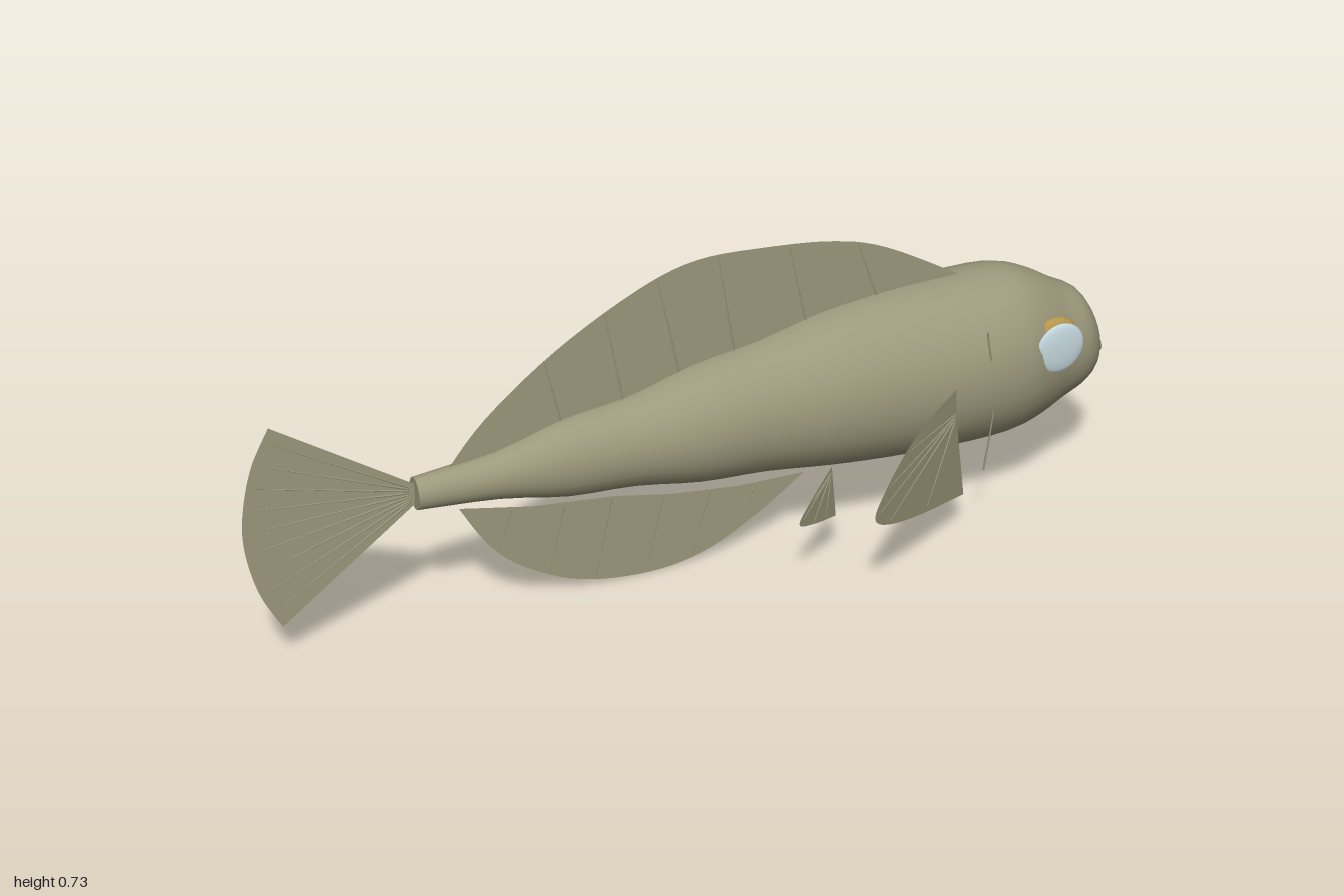
import * as THREE from 'three';

const mat = (name, color, side = THREE.FrontSide) => {
  const m = new THREE.MeshStandardMaterial({ color, side });
  m.name = name;
  return m;
};
const V = (x, y, z = 0) => new THREE.Vector3(x, y, z);

export function createModel() {
  const skin = mat('olive skin', 0x9d997c, THREE.DoubleSide);
  const gold = mat('gold iris', 0xb6964a);
  const lens = mat('pale blue lens', 0xc6dae0);

  const model = new THREE.Group();
  model.name = 'fish';
  const add = (parent, name, geo, material) => {
    const m = new THREE.Mesh(geo, material);
    m.name = name;
    parent.add(m);
    return m;
  };

  // Body: elliptical cross-sections [x, top, bottom, half width]
  const sections = [
    [-0.63, 0.37, 0.297, 0.03], [-0.45, 0.388, 0.28, 0.045], [-0.3, 0.428, 0.25, 0.068],
    [-0.15, 0.447, 0.24, 0.085], [0, 0.488, 0.216, 0.113], [0.15, 0.51, 0.205, 0.122],
    [0.3, 0.545, 0.186, 0.145], [0.45, 0.562, 0.172, 0.158], [0.6, 0.567, 0.166, 0.167],
    [0.74, 0.566, 0.166, 0.16], [0.82, 0.538, 0.182, 0.134], [0.88, 0.503, 0.206, 0.109],
    [0.935, 0.472, 0.23, 0.094], [0.97, 0.422, 0.256, 0.068], [0.986, 0.375, 0.297, 0.037],
    [0.99, 0.338, 0.334, 0.002],
  ];
  const spine = new THREE.CatmullRomCurve3(sections.map(s => V(s[0], (s[1] + s[2]) / 2)), false, 'catmullrom');
  const radii = new THREE.CatmullRomCurve3(sections.map(s => V((s[1] - s[2]) / 2, s[3])), false, 'catmullrom');
  const rings = (sections.length - 1) * 3, sides = 28;
  const pos = [], idx = [];
  for (let i = 0; i <= rings; i++) {
    const c = spine.getPoint(i / rings), r = radii.getPoint(i / rings);
    for (let j = 0; j < sides; j++) {
      const a = (j / sides) * Math.PI * 2;
      pos.push(c.x, c.y + r.x * Math.cos(a), r.y * Math.sin(a));
      if (i === rings) continue;
      const k = (j + 1) % sides, p = i * sides, q = p + sides;
      idx.push(p + j, p + k, q + j, p + k, q + k, q + j);
    }
  }
  const bodyGeo = new THREE.BufferGeometry();
  bodyGeo.setAttribute('position', new THREE.Float32BufferAttribute(pos, 3));
  bodyGeo.setIndex(idx);
  bodyGeo.computeVertexNormals();
  add(model, 'body', bodyGeo, skin);
  const cap = add(model, 'tailStump', new THREE.CircleGeometry(1, sides), skin);
  cap.position.set(-0.63, 0.3335, 0);
  cap.rotation.y = -Math.PI / 2;
  cap.scale.set(0.03, 0.0365, 1);

  // Fin: flat membrane with a smooth outer edge, closed by straight inner points;
  // rays are [x0, y0, x1, y1]; place maps the flat fin into space
  const fin = (name, edge, inner, rays, place = (x, y) => V(x, y)) => {
    const g = new THREE.Group();
    g.name = name;
    const curve = new THREE.SplineCurve(edge.map(p => new THREE.Vector2(...p)));
    const outline = [...curve.getPoints(40), ...inner.map(p => new THREE.Vector2(...p))];
    const geo = new THREE.ShapeGeometry(new THREE.Shape(outline));
    const p = geo.attributes.position;
    for (let i = 0; i < p.count; i++) {
      const v = place(p.getX(i), p.getY(i));
      p.setXYZ(i, v.x, v.y, v.z);
    }
    geo.computeVertexNormals();
    add(g, 'membrane', geo, skin);
    for (const [x0, y0, x1, y1] of rays) {
      const a = place(x0, y0), b = place(x1, y1);
      const ray = add(g, 'ray', new THREE.CylinderGeometry(0.001, 0.0025, a.distanceTo(b), 6), skin);
      ray.position.copy(a).lerp(b, 0.5);
      ray.quaternion.setFromUnitVectors(V(0, 1), b.sub(a).normalize());
    }
    model.add(g);
  };

  fin('dorsalFin',
    [[-0.565, 0.36], [-0.47, 0.47], [-0.31, 0.593], [-0.125, 0.693], [0.01, 0.733], [0.17, 0.729],
      [0.33, 0.71], [0.46, 0.668], [0.65, 0.56]],
    [[0.6, 0.5], [0.3, 0.48], [0, 0.42], [-0.3, 0.38], [-0.5, 0.35]],
    [[-0.3, 0.42, -0.335, 0.57], [-0.16, 0.44, -0.2, 0.655], [-0.03, 0.47, -0.08, 0.71], [0.1, 0.49, 0.06, 0.728],
      [0.27, 0.52, 0.225, 0.72], [0.44, 0.55, 0.39, 0.69]]);

  fin('analFin',
    [[-0.535, 0.272], [-0.47, 0.165], [-0.39, 0.09], [-0.26, 0.025], [-0.1, 0.002], [0.035, 0.022],
      [0.16, 0.085], [0.27, 0.16]],
    [[0.11, 0.165], [-0.05, 0.185], [-0.18, 0.213], [-0.37, 0.236]],
    [[-0.42, 0.24, -0.45, 0.15], [-0.3, 0.22, -0.335, 0.065], [-0.19, 0.21, -0.23, 0.02], [-0.07, 0.185, -0.11, 0.01],
      [0.04, 0.17, 0, 0.02], [0.15, 0.155, 0.11, 0.085]]);

  // Tail fan
  const tailRays = [];
  for (let i = 0; i < 9; i++) {
    const a = -0.58 + i * 0.145;
    tailRays.push([-0.64, 0.333 + a * 0.03, -0.635 - 0.345 * Math.cos(a), 0.33 + 0.345 * Math.sin(a)]);
  }
  fin('tailFin',
    [[-0.93, 0.56], [-0.97, 0.482], [-0.992, 0.4], [-1, 0.325], [-0.992, 0.25], [-0.97, 0.17], [-0.93, 0.09]],
    [[-0.635, 0.305], [-0.62, 0.31], [-0.62, 0.355], [-0.635, 0.36]], tailRays);

  for (const s of [1, -1]) {
    const side = s > 0 ? 'front' : 'back';

    // Paired fins sweep back and outwards from the body
    fin(side + 'PectoralFin',
      [[0.547, 0.387], [0.45, 0.372], [0.37, 0.346], [0.3, 0.3], [0.252, 0.246], [0.3, 0.2], [0.42, 0.15], [0.595, 0.096]],
      [[0.55, 0.32]],
      [[0.545, 0.325, 0.38, 0.335], [0.545, 0.32, 0.3, 0.29], [0.545, 0.32, 0.265, 0.245],
        [0.545, 0.315, 0.31, 0.205], [0.545, 0.31, 0.45, 0.155]],
      (x, y) => V(x, y, s * (0.171 - 0.65 * (x - 0.545))));
    fin(side + 'PelvicFin',
      [[0.268, 0.245], [0.2, 0.212], [0.15, 0.176], [0.21, 0.14], [0.288, 0.11]],
      [[0.272, 0.215]],
      [[0.265, 0.23, 0.2, 0.205], [0.265, 0.23, 0.165, 0.178], [0.265, 0.23, 0.205, 0.148], [0.265, 0.23, 0.25, 0.13]],
      (x, y) => V(x, y, s * (0.136 - 0.7 * (x - 0.265))));

    // Eye: flattened iris with a thinner lens over it
    const iris = add(model, side + 'Iris', new THREE.SphereGeometry(1, 24, 16), gold);
    iris.position.set(0.818, 0.413, s * 0.117);
    iris.scale.set(0.062, 0.062, 0.021);
    const glass = add(model, side + 'Lens', new THREE.SphereGeometry(1, 24, 16), lens);
    glass.position.set(0.818, 0.413, s * 0.143);
    glass.scale.set(0.059, 0.059, 0.01);

    // Gill slit
    const gill = new THREE.CatmullRomCurve3([V(0.625, 0.5, s * 0.156), V(0.65, 0.33, s * 0.156), V(0.632, 0.157, s * 0.156)]);
    add(model, side + 'Gill', new THREE.TubeGeometry(gill, 16, 0.002, 6), skin);
  }

  // Mouth ring
  const mouth = add(model, 'mouth', new THREE.TorusGeometry(0.036, 0.003, 8, 32), skin);
  mouth.position.set(0.99, 0.324, 0);
  mouth.rotation.y = Math.PI / 2;
  mouth.scale.set(1, 0.42, 2.6);

  return model;
}
